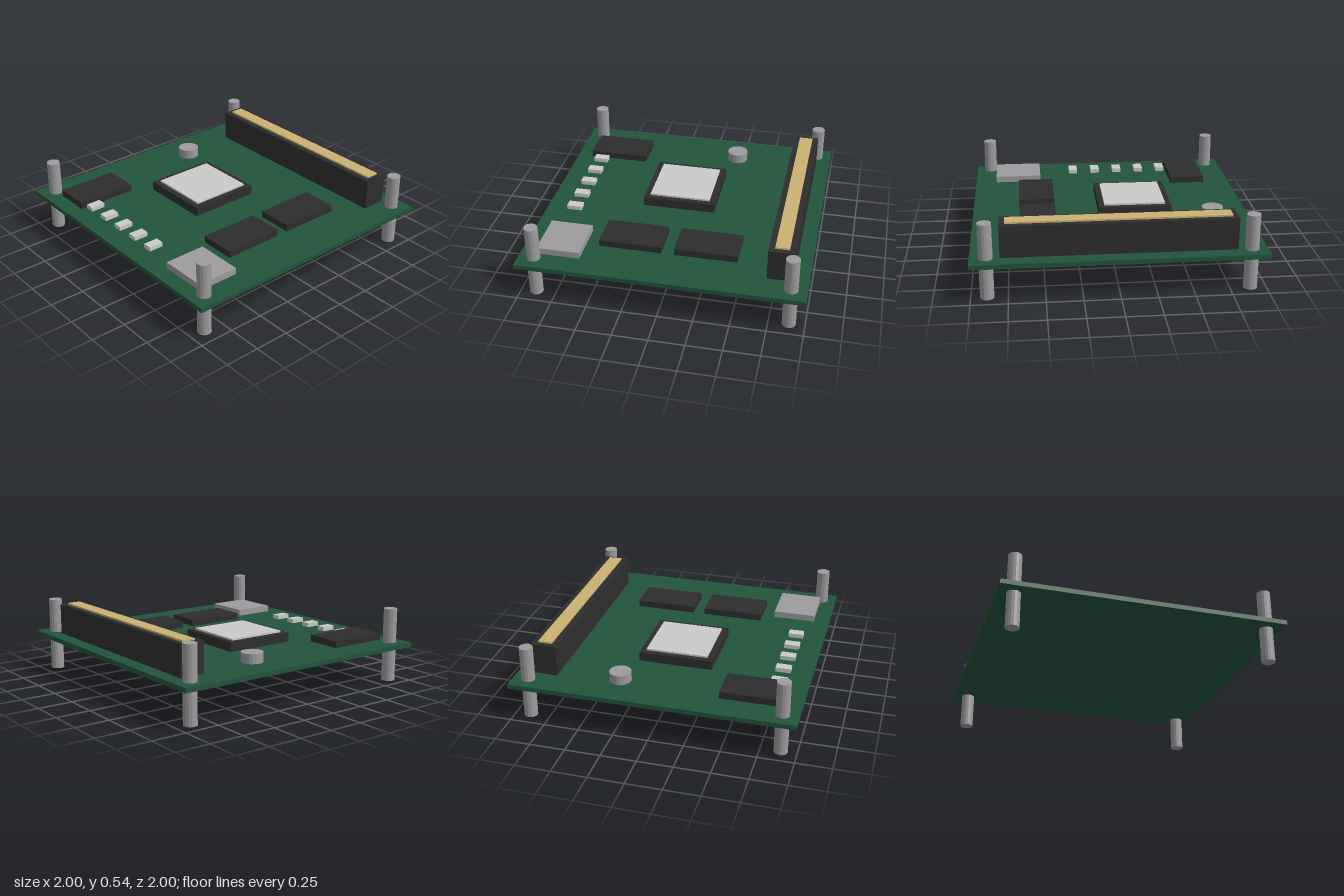
import * as THREE from 'three';

const mat = (name, color) => Object.assign(new THREE.MeshStandardMaterial({ color }), { name });

export function createModel() {
  const green = mat('board green', 0x22543c);
  const black = mat('chip black', 0x2d2d2e);
  const silver = mat('light silver', 0xcbcbca);
  const metal = mat('grey metal', 0x9d9b9e);
  const gold = mat('contact gold', 0xc9b273);

  const model = new THREE.Group();
  model.name = 'circuitBoard';
  const TOP = 0.285; // upper face of the board

  const add = (name, geometry, material, x, y, z) => {
    const mesh = new THREE.Mesh(geometry, material);
    mesh.name = name;
    mesh.position.set(x, y, z);
    model.add(mesh);
  };
  // Box given by centre in x and z, size, and bottom and top heights
  const box = (name, material, x, z, w, d, y0, y1) =>
    add(name, new THREE.BoxGeometry(w, y1 - y0, d), material, x, (y0 + y1) / 2, z);
  // Upright cylinder with crisp caps and faceted sides
  const post = (name, material, x, z, r, y0, y1, sides) => {
    const g = new THREE.CylinderGeometry(r, r, y1 - y0, sides).toNonIndexed();
    g.computeVertexNormals();
    add(name, g, material, x, (y0 + y1) / 2, z);
  };

  box('board', green, 0, 0, 2, 2, 0.252, TOP);

  // Corner standoffs, running through the board
  for (const x of [-0.89, 0.89])
    for (const z of [-0.89, 0.89]) post('standoff', metal, x, z, 0.048, 0, 0.535, 16);

  // Long edge connector with its contact strip
  box('connectorBody', black, 0, -0.805, 1.594, 0.182, TOP, 0.507);
  box('connectorContacts', gold, 0, -0.805, 1.52, 0.098, 0.5, 0.519);

  // Processor and heat spreader
  box('processor', black, -0.178, 0.039, 0.53, 0.53, TOP, 0.352);
  box('processorLid', silver, -0.178, 0.039, 0.446, 0.446, 0.35, 0.365);

  // Memory and controller chips
  for (const [x, z] of [[0.532, -0.272], [0.532, 0.263], [-0.667, 0.663]])
    box('chip', black, x, z, 0.263, 0.444, TOP, 0.334);

  // Shielded port and round coil
  box('port', metal, 0.666, 0.732, 0.348, 0.306, TOP, 0.332);
  post('coil', metal, -0.735, -0.27, 0.077, TOP, 0.354, 20);

  // Row of small surface components
  for (let i = 0; i < 5; i++)
    box('smallComponent', silver, -0.49 + i * 0.178, 0.794, 0.067, 0.108, TOP, 0.316);

  return model;
}
